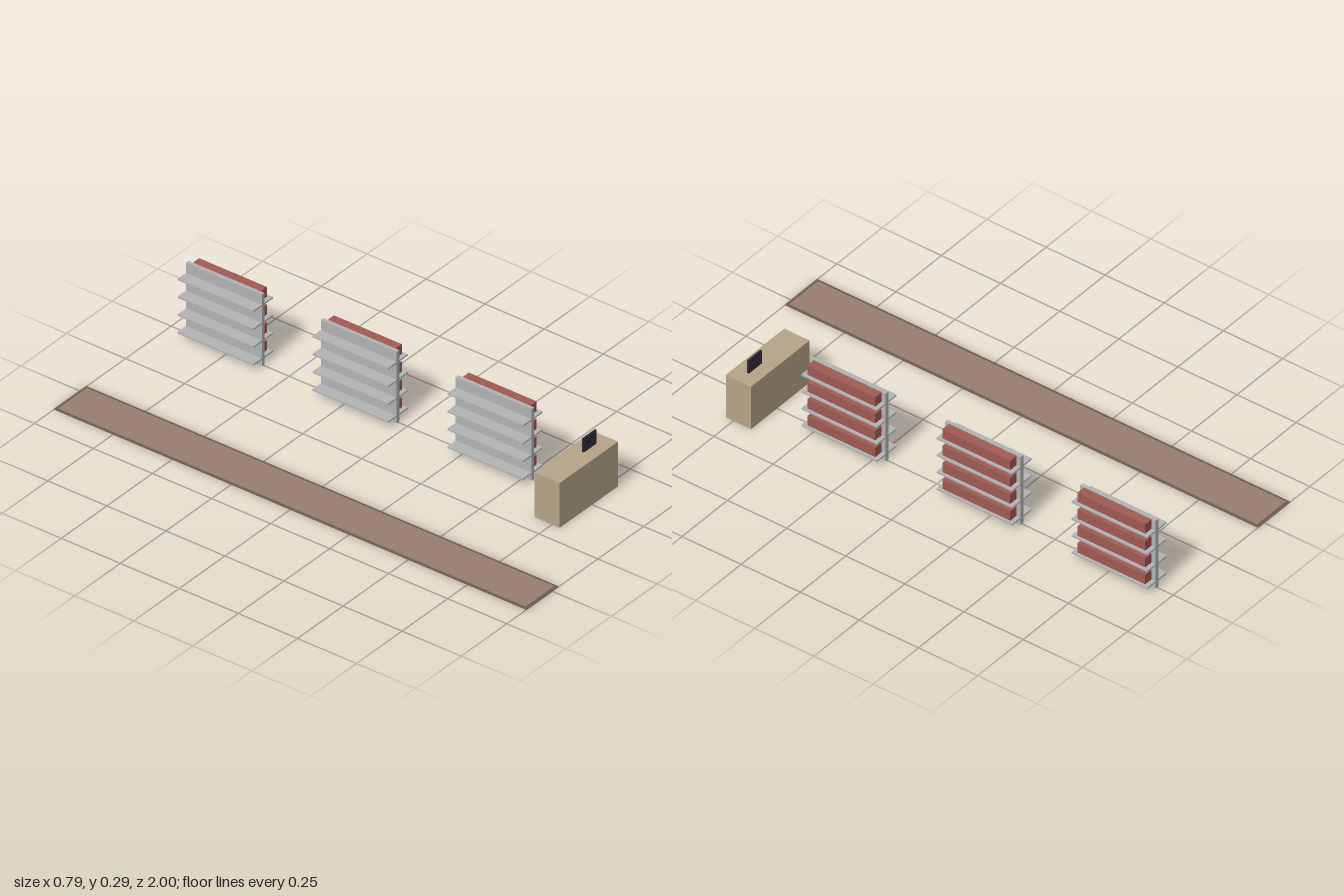
import * as THREE from 'three';

const material = (name, color) => {
  const m = new THREE.MeshStandardMaterial({ color });
  m.name = name;
  return m;
};

// Box given by its bottom-centre position
function block(parent, name, mat, [w, h, d], [x, y, z]) {
  const mesh = new THREE.Mesh(new THREE.BoxGeometry(w, h, d), mat);
  mesh.name = name;
  mesh.position.set(x, y + h / 2, z);
  parent.add(mesh);
}

export function createModel() {
  const model = new THREE.Group();
  model.name = 'shopInterior';

  const grey = material('shelf grey', 0xb2b4b4);
  const red = material('goods red', 0xa15a54);
  const tan = material('counter tan', 0xb6a488);
  const dark = material('screen dark', 0x2d2d38);
  const mauve = material('walkway brown', 0x997d71);
  const brown = material('walkway edge brown', 0x6e5d54);

  // Long walkway: thin base with an inset top surface
  block(model, 'walkwayBase', brown, [0.178, 0.002, 2], [-0.304, 0, 0]);
  block(model, 'walkwaySurface', mauve, [0.157, 0.0015, 1.979], [-0.304, 0.002, 0]);

  // Counter with a screen standing on it
  block(model, 'counter', tan, [0.321, 0.179, 0.107], [0.232, 0, 0.729]);
  block(model, 'screen', dark, [0.071, 0.055, 0.007], [0.304, 0.179, 0.729]);

  // Three shelf units: upright panel, four boards, goods on the +x side
  for (const z of [0.371, -0.2, -0.771]) {
    const unit = new THREE.Group();
    unit.name = 'shelfUnit';
    unit.position.set(0.25, 0, z);
    block(unit, 'panel', grey, [0.0143, 0.286, 0.321], [0, 0, 0]);
    for (let i = 0; i < 4; i++) {
      const y = 0.0257 + i * 0.0714;
      for (const side of [-1, 1]) {
        block(unit, 'shelf', grey, [0.0464, 0.0057, 0.321], [side * 0.0303, y, 0]);
      }
      block(unit, 'goods', red, [0.0355, 0.0393, 0.287], [0.0249, y + 0.0057, 0]);
    }
    model.add(unit);
  }

  return model;
}
